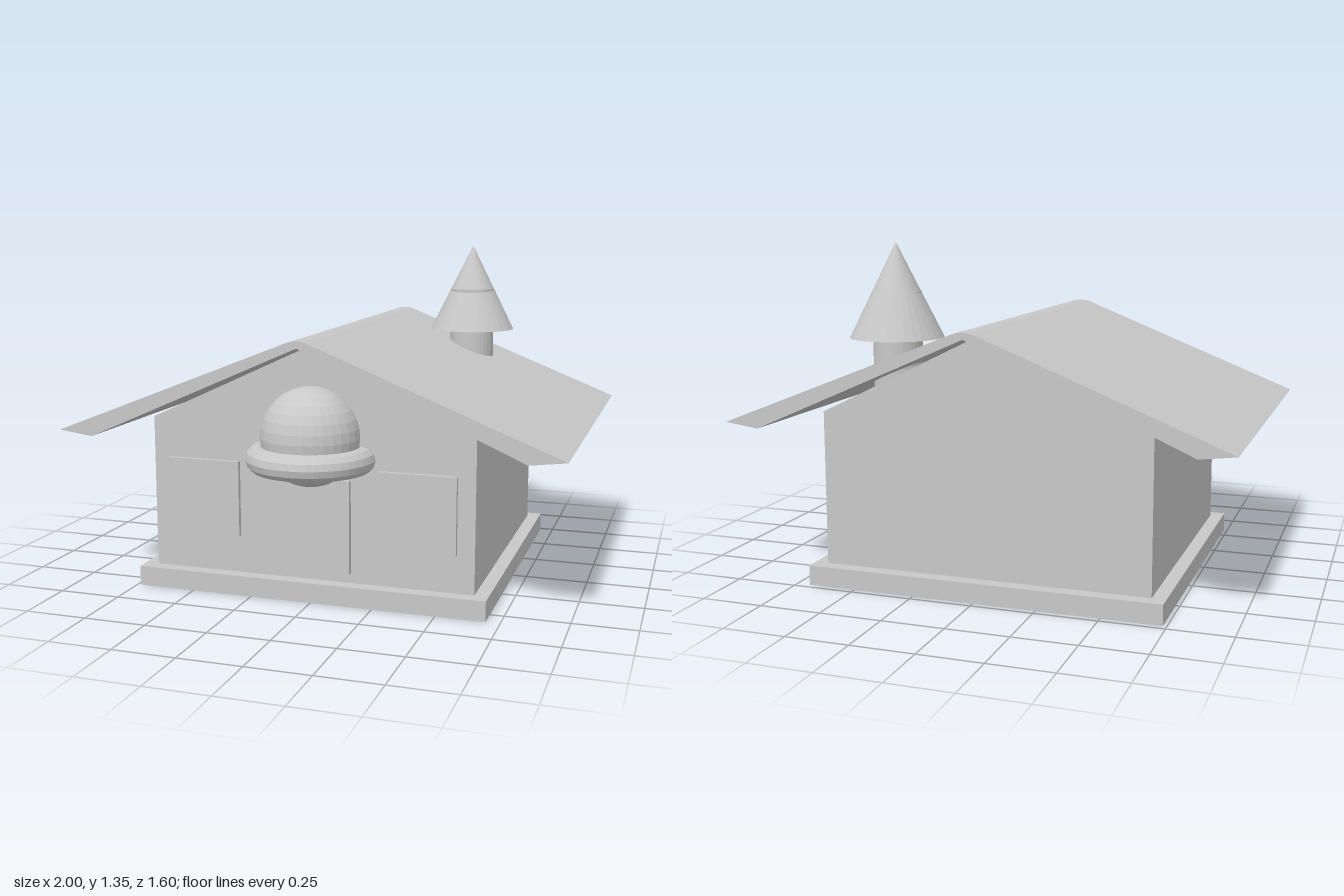
import * as THREE from 'three';

const grey = new THREE.MeshStandardMaterial({ color: 0xc8c8c8, flatShading: true, side: THREE.DoubleSide });
grey.name = 'light grey';

export function createModel() {
  const house = new THREE.Group();
  house.name = 'house';

  const add = (name, geometry, x = 0, y = 0, z = 0) => {
    const mesh = new THREE.Mesh(geometry, grey);
    mesh.name = name;
    mesh.position.set(x, y, z);
    house.add(mesh);
    return mesh;
  };

  // Upright panel between two floor points
  const panel = (name, x0, z0, x1, z1, y0, y1) => {
    const g = new THREE.PlaneGeometry(Math.hypot(x1 - x0, z1 - z0), y1 - y0);
    add(name, g, (x0 + x1) / 2, (y0 + y1) / 2, (z0 + z1) / 2).rotation.y = Math.atan2(z0 - z1, x1 - x0);
  };

  const rectangle = (path, x0, y0, x1, y1) => {
    path.moveTo(x0, y0);
    path.lineTo(x1, y0);
    path.lineTo(x1, y1);
    path.lineTo(x0, y1);
    path.closePath();
    return path;
  };

  // Footing: thin rim, open underneath, with a ledge around the walls
  const left = 0.64, right = -0.68, front = 0.53, back = -0.67, rim = 0.055, footing = 0.08;
  const L = left + rim, R = right - rim, F = front + rim, B = back - rim;
  panel('footingFront', R, F, L, F, 0, footing);
  panel('footingLeft', L, F, L, B, 0, footing);
  panel('footingBack', L, B, R, B, 0, footing);
  panel('footingRight', R, B, R, F, 0, footing);
  const ledge = rectangle(new THREE.Shape(), R, -F, L, -B);
  ledge.holes.push(rectangle(new THREE.Path(), right, -front, left, -back));
  add('footingLedge', new THREE.ShapeGeometry(ledge).rotateX(-Math.PI / 2), 0, footing, 0);

  // Hollow walls
  const eave = 0.695;
  panel('leftWall', left, front, left, back, footing, eave);
  panel('rightWall', right, back, right, front, footing, eave);
  const gable = new THREE.Shape([
    [right, footing], [left, footing], [left, eave], [0, 1.01], [right, eave],
  ].map(([x, y]) => new THREE.Vector2(x, y)));
  add('frontWall', new THREE.ShapeGeometry(gable), 0, 0, front);
  add('backWall', new THREE.ShapeGeometry(gable).rotateY(Math.PI).scale(-1, 1, 1).rotateY(0), 0, 0, back);

  // Roof slab with a softened ridge and tapered eaves
  const roof = new THREE.Shape();
  roof.moveTo(-1, 0.655);
  roof.lineTo(-0.86, 0.637);
  roof.lineTo(0, 1.015);
  roof.lineTo(0.86, 0.637);
  roof.lineTo(1, 0.655);
  roof.lineTo(0.05, 1.03);
  roof.quadraticCurveTo(0, 1.053, -0.05, 1.03);
  roof.closePath();
  add('roof', new THREE.ExtrudeGeometry(roof, { depth: 1.515, bevelEnabled: false, curveSegments: 8 }), 0, 0, -0.8);

  // Door and windows
  add('door', new THREE.BoxGeometry(0.32, 0.37, 0.027), -0.01, 0.305, 0.5405);
  for (const x of [-0.4625, 0.4175]) {
    add('window', new THREE.BoxGeometry(0.305, 0.305, 0.02), x, 0.3825, 0.538);
  }

  // Ringed ball above the door
  add('ball', new THREE.SphereGeometry(0.195, 32, 16), -0.005, 0.657, 0.55);
  add('ballRing', new THREE.TorusGeometry(0.203, 0.052, 12, 48).rotateX(Math.PI / 2), -0.005, 0.573, 0.543);

  // Chimney with a pointed cap
  add('chimney', new THREE.CylinderGeometry(0.097, 0.097, 0.4, 32), 0.392, 0.96, -0.505);
  add('chimneyCap', new THREE.ConeGeometry(0.185, 0.37, 32), 0.392, 1.165, -0.51);

  return house;
}
